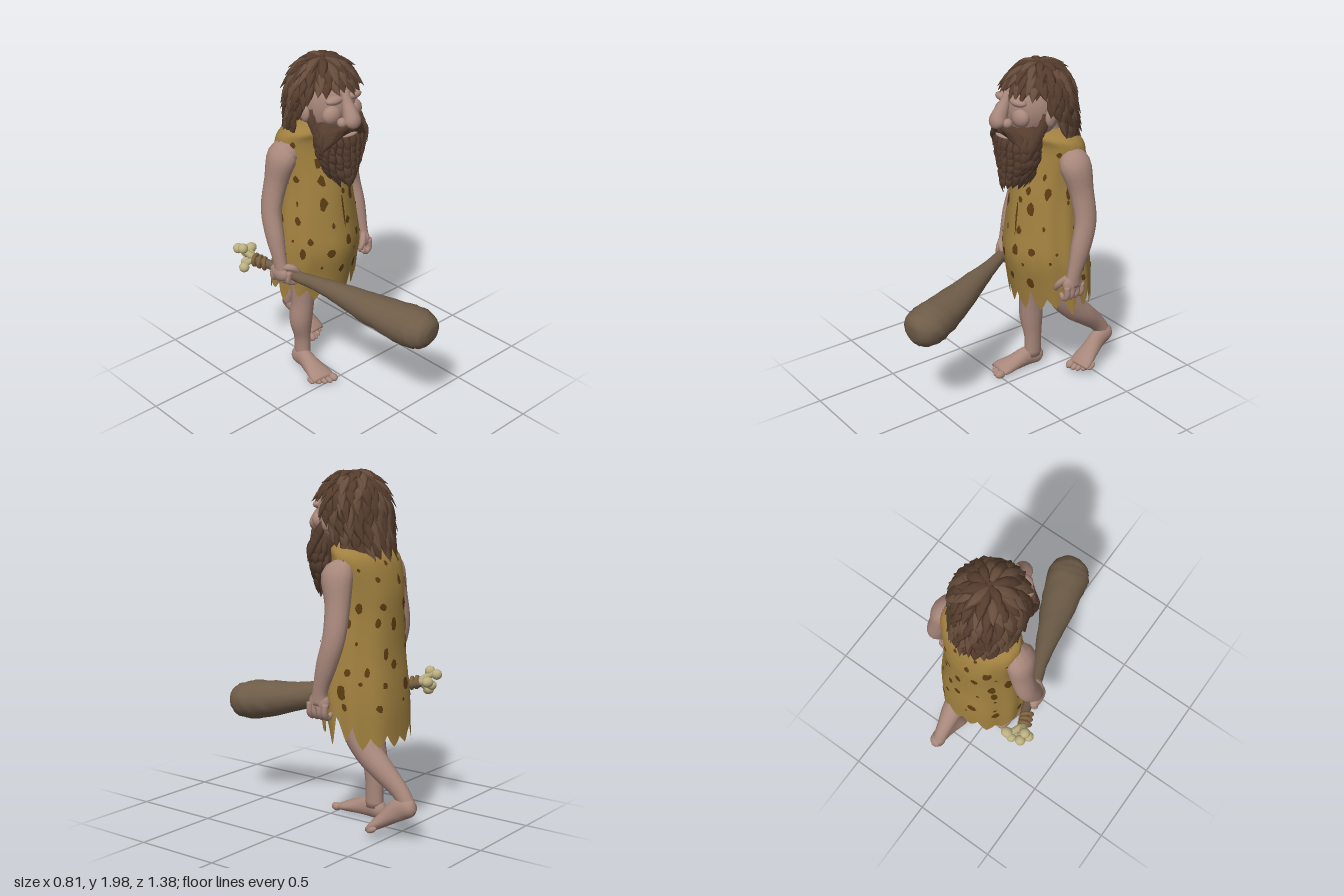
import * as THREE from 'three';
import { mergeGeometries } from 'three/addons/utils/BufferGeometryUtils.js';

const V = (x, y, z) => new THREE.Vector3(x, y, z);
const TAU = Math.PI * 2;
let seed = 7;
const rand = (a = 0, b = 1) => {
  seed = (seed * 16807) % 2147483647;
  return a + (b - a) * seed / 2147483647;
};
const mat = (color, side = THREE.FrontSide) => new THREE.MeshStandardMaterial({ color, side, roughness: 0.9 });
const merge = list => mergeGeometries(list.map(g => g.deleteAttribute('uv')));

// Closed-around grid: rows run along the part, n points run around it
function grid(rows, n, fn) {
  const pos = [], idx = [];
  for (let i = 0; i < rows; i++) for (let j = 0; j < n; j++) pos.push(...fn(i, j).toArray());
  for (let i = 0; i < rows - 1; i++) for (let j = 0; j < n; j++) {
    const k = (j + 1) % n, a = i * n + j, b = i * n + k, c = b + n, d = a + n;
    idx.push(a, b, c, a, c, d);
  }
  const g = new THREE.BufferGeometry();
  g.setAttribute('position', new THREE.Float32BufferAttribute(pos, 3));
  g.setIndex(idx);
  g.computeVertexNormals();
  return g;
}

// Closed limb through [x, y, z, radius along ref, other radius]
function limb(pts, { ref = V(1, 0, 0), n = 14, seg = 4, rough = 0 } = {}) {
  const path = new THREE.CatmullRomCurve3(pts.map(p => V(p[0], p[1], p[2])), false, 'catmullrom');
  const size = new THREE.CatmullRomCurve3(pts.map(p => V(p[3], p[4] ?? p[3], 0)), false, 'catmullrom');
  const m = (pts.length - 1) * seg;
  return grid(m + 3, n, (i, j) => {
    const t = Math.min(Math.max(i - 1, 0), m) / m, c = path.getPoint(t);
    if (i === 0 || i === m + 2) return c;
    const T = path.getTangent(t), S = ref.clone().addScaledVector(T, -ref.dot(T)).normalize();
    const O = T.clone().cross(S), r = size.getPoint(t), a = j / n * TAU, k = 1 + rand(-rough, rough);
    return c.addScaledVector(S, r.x * k * Math.cos(a)).addScaledVector(O, r.y * k * Math.sin(a));
  });
}
const ball = (x, y, z, rx, ry = rx, rz = rx) => new THREE.SphereGeometry(1, 16, 12).scale(rx, ry, rz).translate(x, y, z);

// Tunic surface: angle around, v from neck (0) to lowest hem (1)
const tunicRows = [
  [1.6, 0.03, -0.23, 0.1, 0.1], [1.565, 0.03, -0.235, 0.2, 0.135], [1.5, 0.03, -0.27, 0.235, 0.155],
  [1.35, 0.025, -0.27, 0.222, 0.19], [1.2, 0.025, -0.255, 0.222, 0.21], [1.0, 0.027, -0.245, 0.245, 0.226],
  [0.85, 0.03, -0.245, 0.26, 0.243], [0.7, 0.03, -0.265, 0.265, 0.235], [0.55, 0.03, -0.28, 0.265, 0.222],
  [0.48, 0.03, -0.285, 0.265, 0.222]];
const tunicPath = new THREE.CatmullRomCurve3(tunicRows.map(r => V(r[1], r[0], r[2])), false, 'catmullrom');
const tunicSize = new THREE.CatmullRomCurve3(tunicRows.map(r => V(r[3], r[4], 0)), false, 'catmullrom');
function tunicPoint(a, v, off = 0) {
  const c = tunicPath.getPoint(v), r = tunicSize.getPoint(v);
  const k = 1 + 0.025 * v * Math.sin(a * 9 + 2 * Math.sin(a * 2));
  return V(c.x + (r.x * k + off) * Math.cos(a), c.y, c.z + (r.y * k + off) * Math.sin(a));
}

// Hair shell: polar angle p from the crown, hanging straight below the widest line
function hairPoint(p, a, s = 1) {
  const q = Math.min(p, Math.PI / 2), drop = Math.max(p - Math.PI / 2, 0);
  const r = Math.sin(q) * s * 0.2;
  return V(0.03 + r * Math.cos(a) * (1 - drop * 0.12), 1.75 + Math.cos(q) * 0.222 * s - drop * 0.22,
    -0.18 + r * Math.sin(a) - drop * 0.03);
}
// How far down the hair reaches: short over the face, long at the nape
const hairLimit = a => 1.02 + 1.4 * (1 - THREE.MathUtils.smoothstep(Math.sin(a), -0.3, 0.62));

// Pointed flat tuft through three points
function tuft(a, b, c, w, ref) {
  return limb([[...a.toArray(), w * 0.5, w * 0.25], [...b.toArray(), w, w * 0.35], [...c.toArray(), w * 0.05, w * 0.04]],
    { ref, n: 6, seg: 3 });
}

// Foot with its heel at the origin and toes towards +z; inner is the big-toe side
function foot(inner) {
  const parts = [limb([[0, 0.05, 0, 0.02, 0.025], [0, 0.055, 0.03, 0.043, 0.052], [0, 0.065, 0.1, 0.045, 0.063],
    [0, 0.047, 0.19, 0.058, 0.046], [0, 0.032, 0.27, 0.076, 0.031], [0, 0.024, 0.31, 0.07, 0.02]])];
  for (let i = 0; i < 5; i++) {
    const r = i ? 0.0165 : 0.024;
    parts.push(ball(inner * (0.055 - i * 0.031), r, 0.325 - i * i * 0.0035, r, r, 0.032));
  }
  return merge(parts);
}

export function createModel() {
  const model = new THREE.Group();
  const skin = mat(0xa9887c), hide = mat(0xa0803f, THREE.DoubleSide), spot = mat(0x5c3c12, THREE.DoubleSide);
  const hairMats = [mat(0x553c2d), mat(0x664c3b)], wood = mat(0x6e5c48), bone = mat(0xbcb080), cord = mat(0x80643f);
  const add = (name, geo, m) => {
    const mesh = new THREE.Mesh(geo, m);
    mesh.name = name;
    model.add(mesh);
    return mesh;
  };

  // Tunic with a ragged hem
  const N = 96, teeth = Array.from({ length: 32 }, (_, i) => i % 2 ? rand(0.86, 0.95) : rand(0.79, 0.85));
  add('tunic', grid(37, N, (i, j) => {
    const a = j / N * TAU, k = Math.floor(j / 3), f = j % 3 / 3;
    const end = teeth[k] * (1 - f) + teeth[(k + 1) % 32] * f + 0.045 * Math.max(0, -Math.sin(a));
    return tunicPoint(a, i / 36 * Math.min(end, 1));
  }), hide);

  // Dark patches lying on the hide
  const patches = [];
  const patch = (a, v, w, h) => {
    const pos = [], idx = [], n = 8;
    pos.push(...tunicPoint(a, v, 0.006).toArray());
    for (let i = 0; i < n; i++) {
      const t = i / n * TAU, k = rand(0.7, 1.1);
      pos.push(...tunicPoint(a + w * k * Math.cos(t) / 0.24, v + h * k * Math.sin(t), 0.005).toArray());
      idx.push(0, i + 1, (i + 1) % n + 1);
    }
    const g = new THREE.BufferGeometry();
    g.setAttribute('position', new THREE.Float32BufferAttribute(pos, 3));
    g.setIndex(idx);
    g.computeVertexNormals();
    patches.push(g);
  };
  for (let row = 0; row < 8; row++) for (let i = 0; i < 10; i++) {
    const s = rand(0.008, 0.03);
    patch((i + row % 2 / 2 + rand(-0.3, 0.3)) / 10 * TAU, 0.24 + row * 0.073 + rand(-0.02, 0.02), s, s * rand(0.7, 1.3));
  }
  patch(1.57, 0.3, 0.06, 0.06);
  patch(1.5, 0.5, 0.008, 0.06);
  add('tunicSpots', merge(patches), spot);

  // Legs and feet: right planted, left pushing off behind
  add('rightLeg', limb([[-0.08, 0.85, -0.24, 0.1, 0.11], [-0.085, 0.6, -0.235, 0.08, 0.088], [-0.09, 0.46, -0.235, 0.066, 0.072],
    [-0.098, 0.33, -0.245, 0.068, 0.07], [-0.085, 0.2, -0.25, 0.046, 0.055], [-0.085, 0.07, -0.25, 0.043, 0.055]]), skin);
  add('leftLeg', limb([[0.12, 0.85, -0.26, 0.1, 0.11], [0.13, 0.6, -0.28, 0.083, 0.09], [0.14, 0.47, -0.36, 0.072, 0.08],
    [0.142, 0.38, -0.46, 0.064, 0.066], [0.135, 0.28, -0.57, 0.045, 0.05], [0.135, 0.19, -0.635, 0.04, 0.045]]), skin);
  const rightFoot = add('rightFoot', foot(1), skin);
  rightFoot.position.set(-0.085, 0, -0.32);
  rightFoot.rotation.y = -0.12;
  const leftFoot = add('leftFoot', foot(-1), skin);
  leftFoot.position.set(0.135, 0.165, -0.695);
  leftFoot.rotation.set(0.46, 0.1, 0, 'YXZ');

  // Arms
  for (const [name, s, o] of [['leftArm', 1, 0.063], ['rightArm', -1, 0]]) {
    add(name, limb([[s * 0.14 + o, 1.46, -0.24, 0.05, 0.06], [s * 0.205 + o, 1.43, -0.25, 0.072, 0.095],
      [s * 0.235 + o, 1.28, -0.275, 0.062, 0.073], [s * 0.272 + o, 1.11, -0.28, 0.054, 0.066],
      [s * 0.284 + o, 0.96, -0.24, 0.05, 0.06], [s * 0.286 + o, 0.82, -0.2, 0.036, 0.044], [s * 0.284 + o, 0.74, -0.19, 0.034, 0.055]]), skin);
  }

  // Relaxed left hand, and right hand curled round the club
  const left = [ball(0.345, 0.75, -0.19, 0.036, 0.06, 0.065)], right = [ball(-0.292, 0.745, -0.2, 0.032, 0.05, 0.07)];
  for (let i = 0; i < 4; i++) {
    const z = -0.24 + i * 0.034, x = -0.262 + i * 0.008, y = 0.735;
    left.push(limb([[0.36, 0.75, z, 0.018], [0.362, 0.695, z, 0.018], [0.335, 0.67, z, 0.017], [0.305, 0.69, z, 0.012]], { ref: V(0, 0, 1), n: 8 }));
    right.push(limb([[x - 0.035, y + 0.03, z, 0.018], [x - 0.042, y - 0.025, z, 0.018], [x, y - 0.048, z, 0.018],
      [x + 0.04, y - 0.02, z, 0.015], [x + 0.03, y + 0.02, z, 0.012]], { ref: V(0, 0, 1), n: 8 }));
  }
  left.push(limb([[0.335, 0.79, -0.16, 0.022], [0.3, 0.75, -0.13, 0.02], [0.275, 0.71, -0.125, 0.013]], { ref: V(0, 0, 1), n: 8 }));
  right.push(limb([[-0.29, 0.79, -0.17, 0.022], [-0.25, 0.785, -0.13, 0.02], [-0.215, 0.75, -0.12, 0.014]], { ref: V(0, 0, 1), n: 8 }));
  add('leftHand', merge(left), skin);
  add('rightHand', merge(right), skin);

  // Club, cord binding and knobbly bones at its butt
  add('club', limb([[-0.32, 0.77, -0.4, 0.024], [-0.27, 0.745, -0.27, 0.028], [-0.225, 0.725, -0.12, 0.034], [-0.175, 0.705, 0, 0.043],
    [-0.12, 0.675, 0.15, 0.066], [-0.058, 0.635, 0.33, 0.1, 0.09], [0, 0.607, 0.5, 0.12, 0.112], [0.025, 0.597, 0.59, 0.126, 0.11],
    [0.035, 0.593, 0.66, 0.098, 0.088], [0.038, 0.59, 0.69, 0.05, 0.045]], { n: 18, rough: 0.035 }), wood);
  const wraps = [0, 1, 2].map(i => new THREE.TorusGeometry(0.03, 0.012, 8, 16).rotateY(0.35 + i * 0.15)
    .translate(-0.325 + i * 0.012, 0.77 - i * 0.006, -0.37 + i * 0.026));
  add('clubBinding', merge(wraps), cord);
  const bones = [ball(-0.38, 0.725, -0.41, 0.03), ball(-0.345, 0.735, -0.44, 0.028), ball(-0.368, 0.835, -0.43, 0.03),
    ball(-0.368, 0.82, -0.475, 0.03), ball(-0.275, 0.79, -0.475, 0.036, 0.03, 0.03), ball(-0.31, 0.77, -0.48, 0.028)];
  for (const e of [[-0.365, 0.735, -0.425], [-0.365, 0.825, -0.45], [-0.29, 0.78, -0.475]])
    bones.push(limb([[-0.325, 0.775, -0.38, 0.02], [...e, 0.02]], { ref: V(0.3, 0.5, 0.8), n: 8 }));
  add('clubBones', merge(bones), bone);

  // Neck, head and face
  add('neck', limb([[0.03, 1.72, -0.16, 0.09], [0.03, 1.6, -0.2, 0.09], [0.03, 1.48, -0.24, 0.12, 0.1]]), skin);
  add('head', ball(0.03, 1.74, -0.14, 0.158, 0.2, 0.17), skin);
  add('nose', merge([limb([[0.015, 1.83, 0.015, 0.022, 0.02], [0.013, 1.77, 0.035, 0.03, 0.03], [0.01, 1.71, 0.065, 0.042, 0.045],
    [0.01, 1.67, 0.082, 0.05, 0.045], [0.01, 1.645, 0.075, 0.03, 0.025]]),
    ball(-0.036, 1.668, 0.05, 0.028), ball(0.056, 1.668, 0.05, 0.028)]), skin);
  add('browAndCheeks', merge([-1, 1].flatMap(s => [ball(0.02 + s * 0.075, 1.7, -0.01, 0.06, 0.055, 0.045),
    ball(0.02 + s * 0.065, 1.785, 0.0, 0.06, 0.025, 0.035)])), skin);
  add('ears', merge([-1, 1].map(s => ball(0.03 + s * 0.172, 1.7, -0.13, 0.022, 0.05, 0.033))), skin);
  add('lowerLip', ball(0.015, 1.588, 0.05, 0.058, 0.011, 0.025), skin);

  // Hair shell and overlapping tufts
  const locks = [[], []];
  locks[0].push(grid(17, 40, (i, j) => {
    const a = j / 40 * TAU;
    return hairPoint(i / 16 * hairLimit(a), a, 0.96);
  }));
  for (let row = 0; row < 9; row++) {
    const p0 = 0.06 + row * 0.25, count = Math.min(9 + row * 6, 27);
    for (let i = 0; i < count; i++) {
      const a = (i + row * 0.5 + rand(-0.25, 0.25)) / count * TAU, p = Math.max(p0 + rand(-0.08, 0.08), 0.03), lim = hairLimit(a);
      if (p > lim - 0.05) continue;
      const end = Math.min(p + rand(0.55, 0.75), lim + rand(0.25, 0.45)), b = a + rand(-0.09, 0.09);
      locks[i * 7 % 5 < 3 ? 0 : 1].push(tuft(hairPoint(p, a, 0.96), hairPoint((p + end) / 2, a, 1.04),
        hairPoint(end, b, rand(1.05, 1.17)), rand(0.024, 0.034), V(-Math.sin(a), 0, Math.cos(a))));
    }
  }
  locks.forEach((l, i) => add(i ? 'lightHair' : 'darkHair', merge(l), hairMats[i]));

  // Beard body, layered tufts, sideburns and moustache
  const beard = [limb([[0.03, 1.64, -0.09, 0.13, 0.08], [0.03, 1.55, -0.05, 0.155, 0.085], [0.03, 1.45, -0.04, 0.13, 0.078],
    [0.035, 1.37, -0.02, 0.075, 0.05], [0.035, 1.31, -0.005, 0.015, 0.015]])];
  for (let row = 0; row < 6; row++) {
    const y = 1.6 - row * 0.042, w = 0.155 - row * row * 0.0038, n = 15 - row;
    for (let i = 0; i < n; i++) {
      const a = -0.5 + (i + row % 2 * 0.5) / (n - 0.5) * (Math.PI + 1), c = Math.cos(a), s = Math.sin(a), l = rand(0.1, 0.135);
      beard.push(tuft(V(0.03 + w * c, y, -0.05 + 0.085 * s), V(0.03 + (w + 0.008) * c, y - l * 0.5, -0.038 + 0.1 * s),
        V(0.033 + (w - 0.025) * c, y - l, -0.028 + 0.085 * s), rand(0.02, 0.028), V(-s, 0, c)));
    }
  }
  for (const s of [-1, 1]) for (let i = 0; i < 4; i++) {
    beard.push(tuft(V(0.03 + s * 0.15, 1.72 - i * 0.03, -0.11 + i * 0.02), V(0.03 + s * 0.17, 1.65 - i * 0.03, -0.08 + i * 0.02),
      V(0.03 + s * 0.16, 1.57 - i * 0.03, -0.05 + i * 0.02), 0.03, V(0, 0, 1)));
    beard.push(limb([[0.015, 1.64 - i * 0.006, 0.062, 0.012, 0.02], [0.015 + s * 0.055, 1.632 - i * 0.008, 0.06 - i * 0.004, 0.016, 0.024],
      [0.015 + s * (0.11 + i * 0.008), 1.6 - i * 0.018, 0.02, 0.014, 0.02], [0.02 + s * 0.15, 1.55 - i * 0.02, -0.015, 0.003, 0.003]],
      { ref: V(0, 0, 1), n: 7, seg: 3 }));
  }
  add('beard', merge(beard), mat(0x573e30));
  return model;
}
